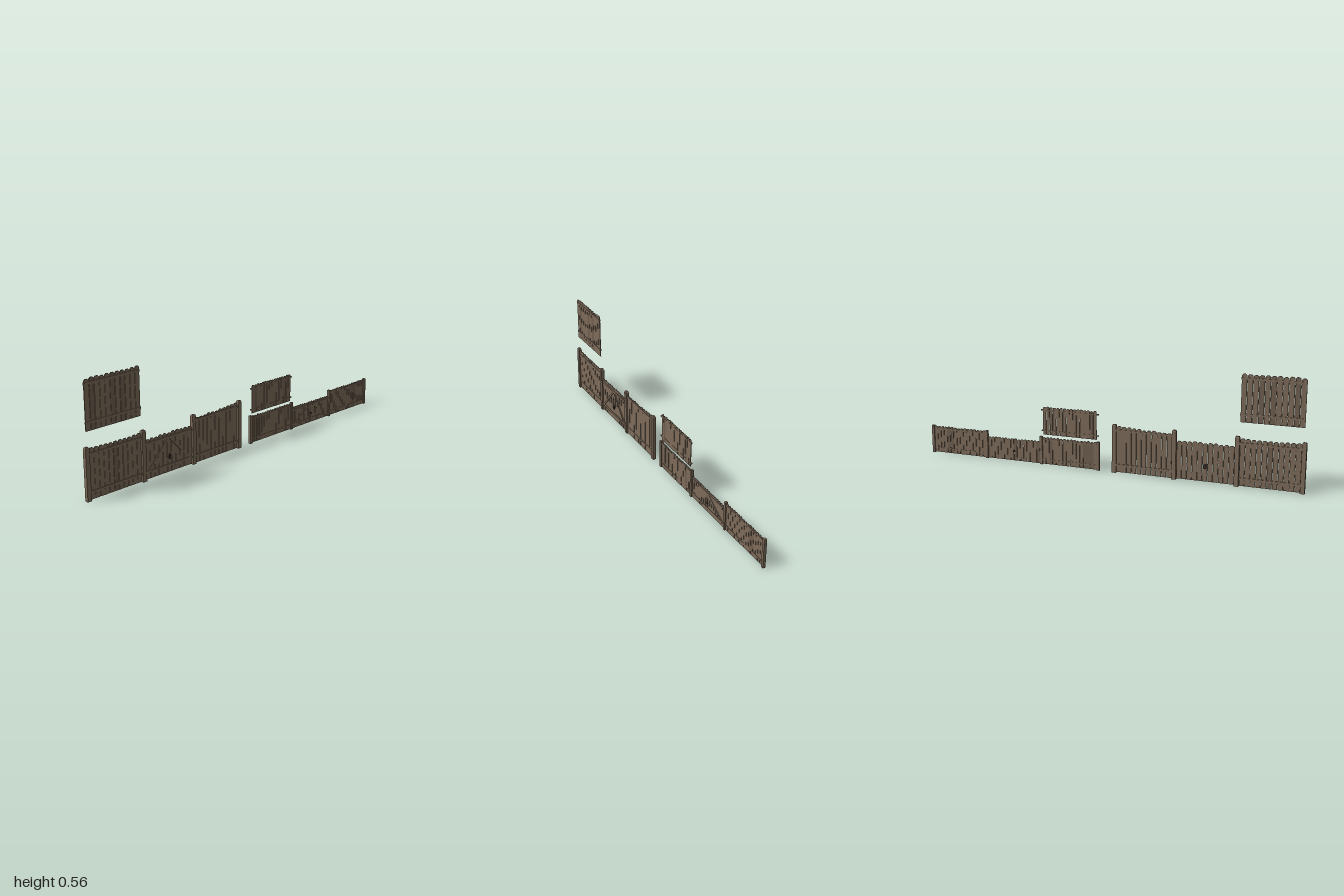
import * as THREE from 'three';

const wood = new THREE.MeshStandardMaterial({ color: 0x7d6b5a });
wood.name = 'weatheredWood';
const darkWood = new THREE.MeshStandardMaterial({ color: 0x6f5e4f });
darkWood.name = 'agedWood';
const iron = new THREE.MeshStandardMaterial({ color: 0x3b342e });
iron.name = 'darkIron';

// Seeded variation for uneven board tops and widths
let seed = 7;
const rand = () => (seed = (seed * 16807) % 2147483647) / 2147483647;

function box(parent, name, mat, w, h, d, x, y, z = 0) {
  const m = new THREE.Mesh(new THREE.BoxGeometry(w, h, d), mat);
  m.name = name;
  m.position.set(x, y, z);
  parent.add(m);
  return m;
}

// Upright plank with clipped top corners
function picket(parent, x, w, y0, y1, d, mat) {
  const a = w / 2, c = w * 0.28;
  const s = new THREE.Shape([
    [-a, y0], [a, y0], [a, y1 - c], [a - c, y1], [-a + c, y1], [-a, y1 - c],
  ].map(([px, py]) => new THREE.Vector2(px, py)));
  const g = new THREE.ExtrudeGeometry(s, { depth: d, bevelEnabled: false });
  g.translate(0, 0, -d / 2);
  const m = new THREE.Mesh(g, mat);
  m.name = 'picket';
  m.position.x = x;
  parent.add(m);
}

// Row of pickets; the top height runs from topL to topR with a small jitter
function pickets(parent, { x0, x1, y0, topL, topR = topL, n, d, jitter }) {
  const pitch = (x1 - x0) / n;
  for (let i = 0; i < n; i++) {
    const t = (i + 0.5) / n;
    const top = topL + (topR - topL) * t - rand() * jitter;
    const w = pitch * (0.88 + rand() * 0.08);
    picket(parent, x0 + t * (x1 - x0), w, y0, top, d, rand() < 0.15 ? darkWood : wood);
  }
}

// Horizontal rails on both faces of the boards
function rails(parent, x0, x1, ys, h, d) {
  for (const y of ys) box(parent, 'rail', wood, x1 - x0, h, d, (x0 + x1) / 2, y);
}

// Diagonal brace on the front of a gate
function brace(parent, ax, ay, bx, by, w, d, z) {
  const m = box(parent, 'diagonalBrace', wood, Math.hypot(bx - ax, by - ay), w, d,
    (ax + bx) / 2, (ay + by) / 2, z);
  m.rotation.z = Math.atan2(by - ay, bx - ax);
}

function section(root, name) {
  const g = new THREE.Group();
  g.name = name;
  root.add(g);
  return g;
}

function gate(root, name, o) {
  const g = section(root, name);
  const { x0, x1, low, high, railH, d } = o;
  const mid = (x0 + x1) / 2, z = d * 0.9;
  pickets(g, o);
  for (const y of [low, high]) box(g, 'gateRail', wood, x1 - x0, railH, d, mid, y, z);
  brace(g, x0 + 0.012, low, mid, high, railH, d, z);
  brace(g, mid, high, x1 - 0.012, low, railH, d, z);
  // Latch plate and ring on both faces
  for (const s of [1, -1]) {
    box(g, 'latchPlate', iron, o.latch * 0.7, o.latch * 1.2, 0.002, mid, o.latchY, s * (d / 2 + 0.001));
    const ring = new THREE.Mesh(new THREE.TorusGeometry(o.latch * 0.4, 0.0013, 6, 16), iron);
    ring.name = 'latchRing';
    ring.position.set(mid, o.latchY - o.latch * 0.2, s * (d / 2 + 0.003));
    g.add(ring);
  }
}

export function createModel() {
  seed = 7;
  const root = new THREE.Group();
  root.name = 'fenceSet';

  // Tall fence: posts, two panels, gate and a loose panel above
  const tall = section(root, 'tallFence');
  [-0.989, -0.671, -0.357, -0.045].forEach((x) => {
    box(tall, 'post', wood, 0.022, 0.243, 0.018, x, 0.1215);
    const cap = new THREE.CylinderGeometry(0.010, 0.0156, 0.007, 4);
    cap.rotateY(Math.PI / 4);
    cap.scale(1, 1, 0.8);
    const m = new THREE.Mesh(cap.toNonIndexed(), wood);
    m.geometry.computeVertexNormals();
    m.name = 'postTop';
    m.position.set(x, 0.2465, 0);
    tall.add(m);
  });
  const tallA = section(tall, 'tallPanelLeft');
  pickets(tallA, { x0: -0.977, x1: -0.683, y0: 0.004, topL: 0.243, n: 11, d: 0.004, jitter: 0.006 });
  rails(tallA, -0.985, -0.675, [0.04, 0.215], 0.011, 0.010);
  const tallB = section(tall, 'tallPanelRight');
  pickets(tallB, { x0: -0.345, x1: -0.057, y0: 0.004, topL: 0.232, topR: 0.245, n: 11, d: 0.004, jitter: 0.008 });
  rails(tallB, -0.353, -0.049, [0.04, 0.22], 0.011, 0.010);
  gate(tall, 'tallGate', {
    x0: -0.658, x1: -0.37, y0: 0.006, topL: 0.203, n: 11, d: 0.004, jitter: 0.006,
    low: 0.04, high: 0.178, railH: 0.011, latch: 0.02, latchY: 0.083,
  });
  const loose = section(tall, 'looseTallPanel');
  pickets(loose, { x0: -0.988, x1: -0.68, y0: 0.32, topL: 0.556, n: 11, d: 0.004, jitter: 0.005 });
  rails(loose, -0.988, -0.68, [0.358, 0.532], 0.011, 0.009);

  // Low fence: posts, two panels, gate and a loose panel above
  const low = section(root, 'lowFence');
  [0.042, 0.357, 0.672, 0.993].forEach((x) =>
    box(low, 'post', wood, 0.014, 0.149, 0.014, x, 0.0745));
  const spans = [['lowPanelLeft', 0.049, 0.35], ['lowPanelRight', 0.679, 0.986]];
  for (const [name, x0, x1] of spans) {
    const g = section(low, name);
    pickets(g, { x0, x1, y0: 0.003, topL: 0.148, n: 16, d: 0.003, jitter: 0.004 });
    rails(g, x0 - 0.004, x1 + 0.004, [0.025, 0.134], 0.006, 0.006);
  }
  gate(low, 'lowGate', {
    x0: 0.366, x1: 0.663, y0: 0.003, topL: 0.122, n: 16, d: 0.003, jitter: 0.004,
    low: 0.025, high: 0.104, railH: 0.007, latch: 0.011, latchY: 0.055,
  });
  const looseLow = section(low, 'looseLowPanel');
  pickets(looseLow, { x0: 0.05, x1: 0.346, y0: 0.16, topL: 0.309, n: 16, d: 0.003, jitter: 0.004 });
  rails(looseLow, 0.04, 0.354, [0.18, 0.29], 0.006, 0.006);

  return root;
}
